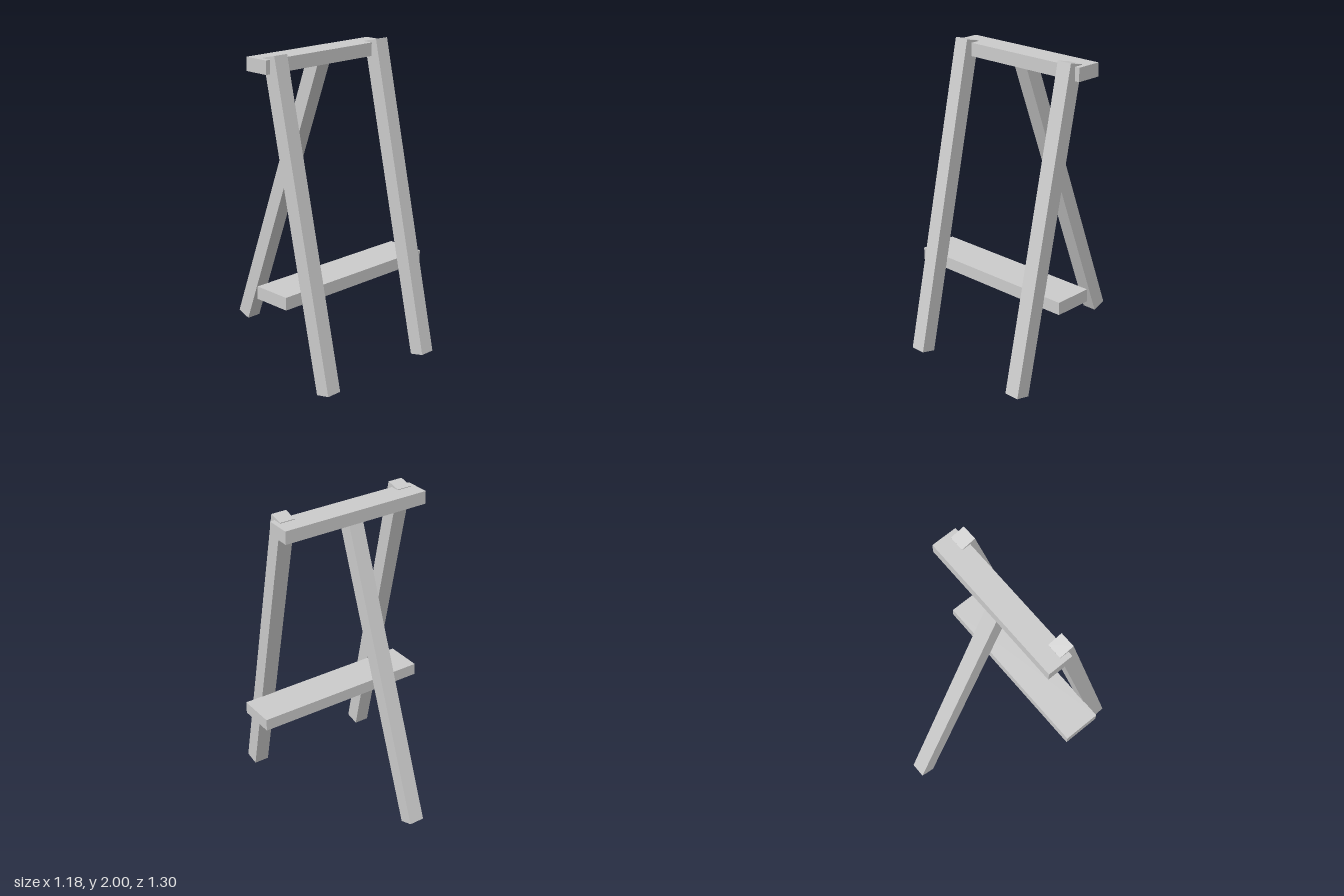
import * as THREE from 'three';

const wood = new THREE.MeshStandardMaterial({ color: 0xcccccc });
wood.name = 'pale grey';

function box(name, w, h, d, x, y, z) {
  const mesh = new THREE.Mesh(new THREE.BoxGeometry(w, h, d), wood);
  mesh.name = name;
  mesh.position.set(x, y, z);
  return mesh;
}

// Square beam leaning in the y-z plane, between the centres of its two ends
function leg(name, x, [z0, y0], [z1, y1]) {
  const dz = z1 - z0, dy = y1 - y0;
  const mesh = box(name, 0.1, Math.hypot(dz, dy), 0.098, x, (y0 + y1) / 2, (z0 + z1) / 2);
  mesh.rotation.x = Math.atan2(dz, dy);
  return mesh;
}

export function createModel() {
  const model = new THREE.Group();
  model.name = 'easel';

  // Two front legs leaning back, one rear leg leaning forward into the top bar
  for (const [side, s] of [['left', 1], ['right', -1]]) {
    model.add(leg(side + 'FrontLeg', s * 0.4225, [0.6025, 0.012], [0.1525, 1.989]));
  }
  model.add(leg('rearLeg', 0, [-0.604, 0.05], [0.083, 1.928]));

  // Cross bar at the top and the wide shelf behind the front legs
  model.add(box('topBar', 1.01, 0.084, 0.168, 0, 1.932, 0.081));
  model.add(box('shelf', 1.184, 0.08, 0.252, 0, 0.58, 0.291));
  return model;
}
